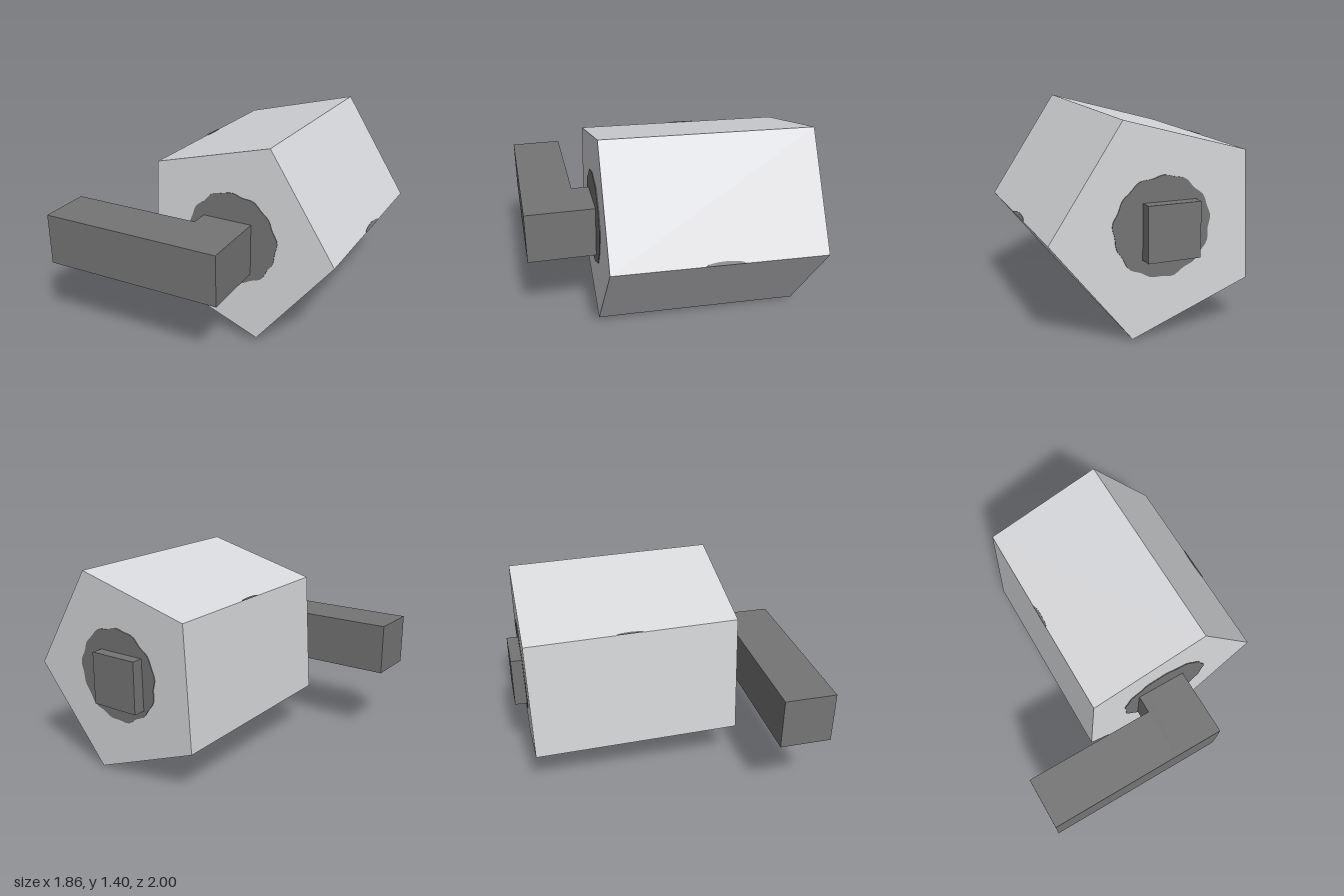
import * as THREE from 'three';

const shell = new THREE.MeshStandardMaterial({ color: 0xd8d9dc });
shell.name = 'light grey';
const iron = new THREE.MeshStandardMaterial({ color: 0x757575 });
iron.name = 'dark grey';

function add(parent, name, geometry, material, x = 0, y = 0, z = 0) {
  const mesh = new THREE.Mesh(geometry, material);
  mesh.name = name;
  mesh.position.set(x, y, z);
  parent.add(mesh);
  return mesh;
}

// Prism along z, centred on z = 0
function prism(points, depth) {
  const geometry = new THREE.ExtrudeGeometry(new THREE.Shape(points), { depth, bevelEnabled: false });
  return geometry.translate(0, 0, -depth / 2);
}

// Box given by its two extreme corners
function boxBetween(parent, name, a, b) {
  const size = a.map((v, i) => b[i] - v);
  const mid = a.map((v, i) => (v + b[i]) / 2);
  add(parent, name, new THREE.BoxGeometry(...size), iron, ...mid);
}

export function createModel() {
  const model = new THREE.Group();
  model.name = 'pentagonalDrum';

  // Slightly tilted pentagonal drum
  const drum = new THREE.Group();
  drum.name = 'drum';
  drum.position.set(0.205, 0.712, -0.195);
  drum.rotation.set(-0.021, -0.006, 0);
  model.add(drum);

  const corners = [[0.26, 0.673], [-0.56, 0.453], [-0.6, -0.392], [0.19, -0.697], [0.72, -0.037]]
    .map(([x, y]) => new THREE.Vector2(x, y));
  add(drum, 'drumBody', prism(corners, 1.437), shell);

  // Rough-edged core, just proud of both end faces
  const outline = [];
  for (let i = 0; i < 72; i++) {
    const t = (i / 72) * Math.PI * 2;
    const r = 0.319 + 0.006 * Math.sin(t * 13) + 0.004 * Math.sin(t * 7 + 1);
    outline.push(new THREE.Vector2(r * Math.cos(t), r * Math.sin(t)));
  }
  add(drum, 'core', prism(outline, 1.447), iron, 0, 0.01, 0);

  // Thin slivers of the core showing beside two long edges
  function sliver(name, edge, toward, halfLength, width) {
    const inward = toward.clone().sub(edge).normalize();
    const y = new THREE.Vector3(inward.x, inward.y, 0);
    const n = new THREE.Vector3(-inward.y, inward.x, 0);
    if (n.x * edge.x + n.y * edge.y < 0) n.negate();
    const x = new THREE.Vector3().crossVectors(y, n);
    const points = [];
    for (let i = 0; i <= 12; i++) {
      const t = (i / 12) * Math.PI;
      points.push(new THREE.Vector2(halfLength * Math.cos(t), width * Math.sin(t)));
    }
    const geometry = prism(points, 0.008);
    geometry.applyMatrix4(new THREE.Matrix4().makeBasis(x, y, n));
    add(drum, name, geometry, iron, edge.x, edge.y, -0.02);
  }
  sliver('rightEdgeSliver', corners[4], corners[0], 0.13, 0.025);
  sliver('leftEdgeSliver', corners[1], corners[0], 0.09, 0.015);

  // Square axle through the drum, with the crank arm on its front end
  boxBetween(model, 'axle', [-0.01, 0.51, -1], [0.34, 0.865, 1]);
  boxBetween(model, 'crankArm', [-0.93, 0.51, 0.645], [-0.01, 0.865, 1]);

  return model;
}
